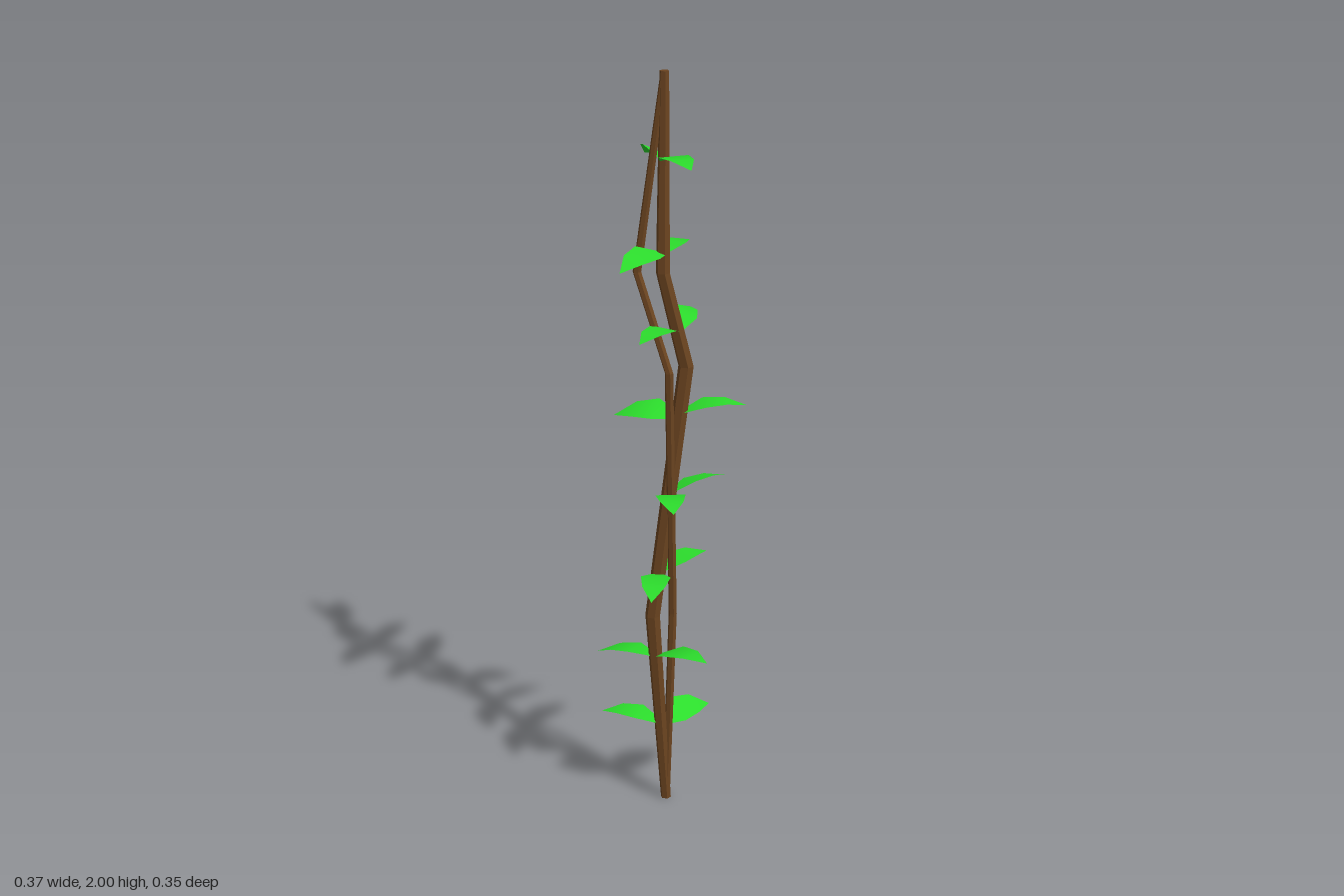
import * as THREE from 'three';

const bark = new THREE.MeshStandardMaterial({ color: 0x6b4420, flatShading: true });
const green = new THREE.MeshStandardMaterial({ color: 0x2cdc2c, side: THREE.DoubleSide });

// Stem rings: x, y, z, radius
const MAIN = [
  [-0.023, 0, -0.006, 0.014], [-0.06, 0.56, 0, 0.02], [0.03, 1.25, 0, 0.02],
  [-0.03, 1.5, 0, 0.018], [-0.023, 2, -0.009, 0.012],
];
const THIN = [
  [-0.023, 0, -0.006, 0.011], [-0.005, 0.56, 0, 0.011], [-0.026, 1.25, 0.042, 0.011],
  [-0.09, 1.5, -0.025, 0.011], [-0.023, 2, -0.009, 0.009],
];

// Leaves: stem height, tip x, tip z, tip rise, roll about the midrib
const LEAVES = [
  [0.235, 0.12, -0.08, -0.005, 0.65], [0.235, -0.18, -0.09, 0.01, 0],
  [0.44, -0.184, -0.115, -0.025, 0.1], [0.44, 0.048, 0.145, 0.035, 0],
  [0.68, -0.107, 0.165, 0, 0], [0.685, 0.11, -0.075, 0.01, 0],
  [0.905, 0.15, -0.034, 0.02, -0.25], [0.9, -0.05, 0.172, 0.02, 0],
  [1.115, -0.137, -0.093, -0.015, -0.4], [1.125, 0.182, 0.03, 0.015, 0],
  [1.345, -0.12, 0.11, 0.01, 0], [1.345, 0.086, -0.155, 0.01, 0.2],
  [1.55, -0.168, 0.11, -0.01, -0.25], [1.55, 0.066, -0.135, -0.015, 0],
  [1.78, -0.03, -0.175, -0.018, 0.45], [1.78, -0.007, 0.175, 0.018, 0],
];

// Leaf outline: fraction of length, half width, arch height
const OUTLINE = [[0, 0.01, 0], [0.36, 0.039, 0.02], [0.69, 0.029, 0.018], [1, 0, 0]];

// Six-sided tube with one ring per listed point
function stem(name, rings) {
  const n = rings.length - 1;
  const geo = new THREE.CylinderGeometry(1, 1, 1, 6, n);
  const p = geo.attributes.position;
  for (let i = 0; i < p.count; i++) {
    const [x, y, z, r] = rings[Math.round((p.getY(i) + 0.5) * n)];
    p.setXYZ(i, x + p.getX(i) * r, y, z + p.getZ(i) * r);
  }
  geo.computeVertexNormals();
  const mesh = new THREE.Mesh(geo, bark);
  mesh.name = name;
  return mesh;
}

// Centre of the main stem at a given height
function stemCentre(y) {
  const k = MAIN.findIndex((r) => r[1] > y);
  const a = MAIN[k - 1], b = MAIN[k];
  const t = (y - a[1]) / (b[1] - a[1]);
  return new THREE.Vector3(a[0] + (b[0] - a[0]) * t, y, a[2] + (b[2] - a[2]) * t);
}

// Arched strip from the stem to a pointed tip
function leaf([y, tipX, tipZ, rise, roll]) {
  const base = stemCentre(y);
  const tip = new THREE.Vector3(tipX, y + rise, tipZ);
  const along = tip.clone().sub(base).setY(0).normalize();
  const side = new THREE.Vector3(-along.z, 0, along.x)
    .multiplyScalar(Math.cos(roll)).setY(-Math.sin(roll));
  const pos = [], index = [];
  OUTLINE.forEach(([t, w, h], i) => {
    const c = base.clone().lerp(tip, t);
    c.y += h;
    const ends = w > 0 ? [-w, w] : [0];
    for (const s of ends) pos.push(...c.clone().addScaledVector(side, s).toArray());
    if (i === 0) return;
    const a = 2 * (i - 1);
    index.push(a, a + 1, a + 2);
    if (w > 0) index.push(a + 1, a + 3, a + 2);
  });
  const geo = new THREE.BufferGeometry();
  geo.setAttribute('position', new THREE.Float32BufferAttribute(pos, 3));
  geo.setIndex(index);
  geo.computeVertexNormals();
  const mesh = new THREE.Mesh(geo, green);
  mesh.name = 'leaf';
  return mesh;
}

export function createModel() {
  const model = new THREE.Group();
  model.name = 'leafyVine';
  model.add(stem('mainStem', MAIN), stem('thinStem', THIN));
  const leaves = new THREE.Group();
  leaves.name = 'leaves';
  for (const spec of LEAVES) leaves.add(leaf(spec));
  model.add(leaves);
  return model;
}
